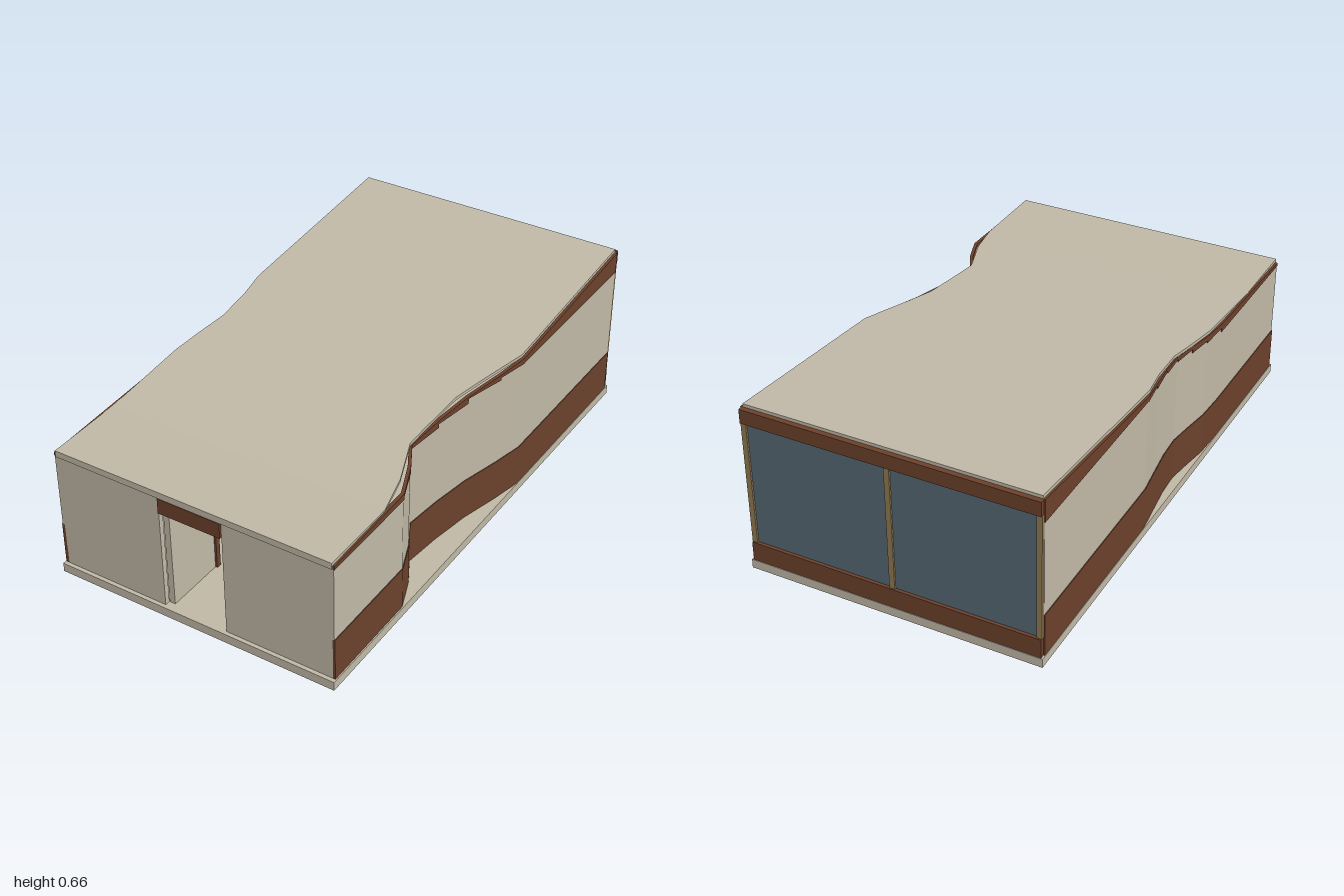
import * as THREE from 'three';

const mat = (name, color) => {
  const m = new THREE.MeshStandardMaterial({ color });
  m.name = name;
  return m;
};

// Roof surface: level over the entrance, then rising to the rear
const FOLD = 0.68;
const roofTop = z => 0.515 + Math.max(0, FOLD - z) * 0.145 / 1.66;

// Wall plans as [outer x, z, top of the pale panel up to the next point], back to front
const RIGHT = [
  [0.555, -0.98, 0.562], [0.555, -0.24, 0.56], [0.53, -0.12, 0.55], [0.49, 0.04, 0.53],
  [0.465, 0.2, 0.515], [0.45, 0.35, 0.507], [0.505, 0.45, 0.5], [0.552, 0.57, 0.487], [0.552, 0.985, 0],
];
const LEFT = [
  [-0.555, -0.98, 0.562], [-0.555, -0.22, 0.56], [-0.542, -0.12, 0.55], [-0.527, 0, 0.54],
  [-0.522, 0.1, 0.53], [-0.535, 0.2, 0.515], [-0.55, 0.3, 0.507], [-0.555, 0.42, 0.49], [-0.555, 0.985, 0],
];

// Thin prism standing between two plan points; bottom and top are functions of z
function wallPiece(a, b, thick, bottom, top) {
  const g = new THREE.BoxGeometry(1, 1, 1);
  const p = g.attributes.position;
  const side = Math.sign(a[0]);
  for (let i = 0; i < p.count; i++) {
    const t = p.getZ(i) + 0.5;
    const z = THREE.MathUtils.lerp(a[1], b[1], t);
    const outer = p.getX(i) * side > 0;
    const x = THREE.MathUtils.lerp(a[0], b[0], t) - (outer ? 0 : side * thick);
    p.setXYZ(i, x, p.getY(i) > 0 ? top(z) : bottom(z), z);
  }
  g.computeVertexNormals();
  return g;
}

// Roof sheet cut to a plan outline of [x, z] points
function roofSheet(points) {
  const shape = new THREE.Shape(points.map(([x, z]) => new THREE.Vector2(x, -z)));
  const g = new THREE.ExtrudeGeometry(shape, { depth: 0.012, bevelEnabled: false });
  g.rotateX(-Math.PI / 2);
  const p = g.attributes.position;
  for (let i = 0; i < p.count; i++) p.setY(i, p.getY(i) - 0.012 + roofTop(p.getZ(i)));
  g.computeVertexNormals();
  return g;
}

export function createModel() {
  const house = new THREE.Group();
  house.name = 'pavilion';
  const plaster = mat('pale plaster', 0xc0b8a6);
  const wood = mat('brown wood', 0x6b402b);
  const glass = mat('blue grey glass', 0x566772);
  const frame = mat('tan frame', 0x907a50);

  const add = (name, geometry, material, parent = house) => {
    const m = new THREE.Mesh(geometry, material);
    m.name = name;
    parent.add(m);
    return m;
  };
  // Box given by its lower and upper corners
  const box = (name, material, x0, x1, y0, y1, z0, z1, parent) => {
    const g = new THREE.BoxGeometry(x1 - x0, y1 - y0, z1 - z0);
    g.translate((x0 + x1) / 2, (y0 + y1) / 2, (z0 + z1) / 2);
    return add(name, g, material, parent);
  };

  // Floor slab
  box('floorSlab', plaster, -0.557, 0.557, 0, 0.035, -1, 1);

  // Curved side walls: wood base, plaster panel, wood top band
  for (const [name, plan] of [['rightWall', RIGHT], ['leftWall', LEFT]]) {
    const wall = new THREE.Group();
    wall.name = name;
    house.add(wall);
    for (let i = 0; i < plan.length - 1; i++) {
      const a = plan[i], b = plan[i + 1], h = a[2];
      const s = Math.sign(a[0]) * 0.003;
      const ai = [a[0] - s, a[1]], bi = [b[0] - s, b[1]];
      add('wallBase', wallPiece(a, b, 0.013, () => 0.035, () => 0.2), wood, wall);
      add('wallPanel', wallPiece(ai, bi, 0.01, () => 0.2, () => h), plaster, wall);
      add('wallTopBand', wallPiece(a, b, 0.013, () => h, z => roofTop(z) - 0.013), wood, wall);
    }
  }

  // Roof in two flat sheets meeting at the fold
  add('frontRoof', roofSheet([[-0.545, 0.99], [0.545, 0.99], [0.545, FOLD], [-0.547, FOLD]]), plaster);
  add('rearRoof', roofSheet([
    [-0.547, FOLD], [0.545, FOLD], [0.512, 0.53], [0.448, 0.36], [0.45, 0.28], [0.46, 0.08],
    [0.49, -0.04], [0.545, -0.24], [0.545, -0.98], [-0.547, -0.98], [-0.547, -0.2],
    [-0.528, -0.08], [-0.518, 0.07], [-0.535, 0.2], [-0.547, 0.32],
  ]), plaster);

  // Front wall with the entrance opening
  for (const s of [-1, 1]) {
    box('frontWall', plaster, Math.min(s * 0.125, s * 0.543), Math.max(s * 0.125, s * 0.543),
      0.035, 0.49, 0.965, 0.985);
  }
  box('frontBeam', plaster, -0.545, 0.545, 0.49, 0.503, 0.965, 0.99);
  box('doorLintel', wood, -0.123, 0.123, 0.43, 0.49, 0.968, 0.992);

  // Door leaf standing open inward
  box('openDoor', plaster, -0.123, -0.1, 0.035, 0.43, 0.72, 0.965);
  box('doorEdge', wood, -0.1, -0.092, 0.035, 0.42, 0.715, 0.735);

  // Inner rail frame beside the entrance
  const rail = new THREE.Group();
  rail.name = 'innerRail';
  house.add(rail);
  for (const x of [0.085, 0.3]) box('railPost', wood, x, x + 0.009, 0.035, 0.41, 0.5, 0.509, rail);
  box('railBar', wood, 0.09, 0.305, 0.317, 0.327, 0.5, 0.509, rail);

  // Rear window wall
  box('windowSill', wood, -0.55, 0.55, 0.035, 0.11, -0.998, -0.97);
  box('windowHead', wood, -0.55, 0.55, 0.592, 0.647, -0.998, -0.975);
  box('windowGlass', glass, -0.54, 0.54, 0.11, 0.592, -0.986, -0.98);
  for (const x of [-0.541, 0, 0.541]) {
    box('windowPost', frame, x - 0.01, x + 0.01, 0.11, 0.592, -0.993, -0.973);
  }
  return house;
}
